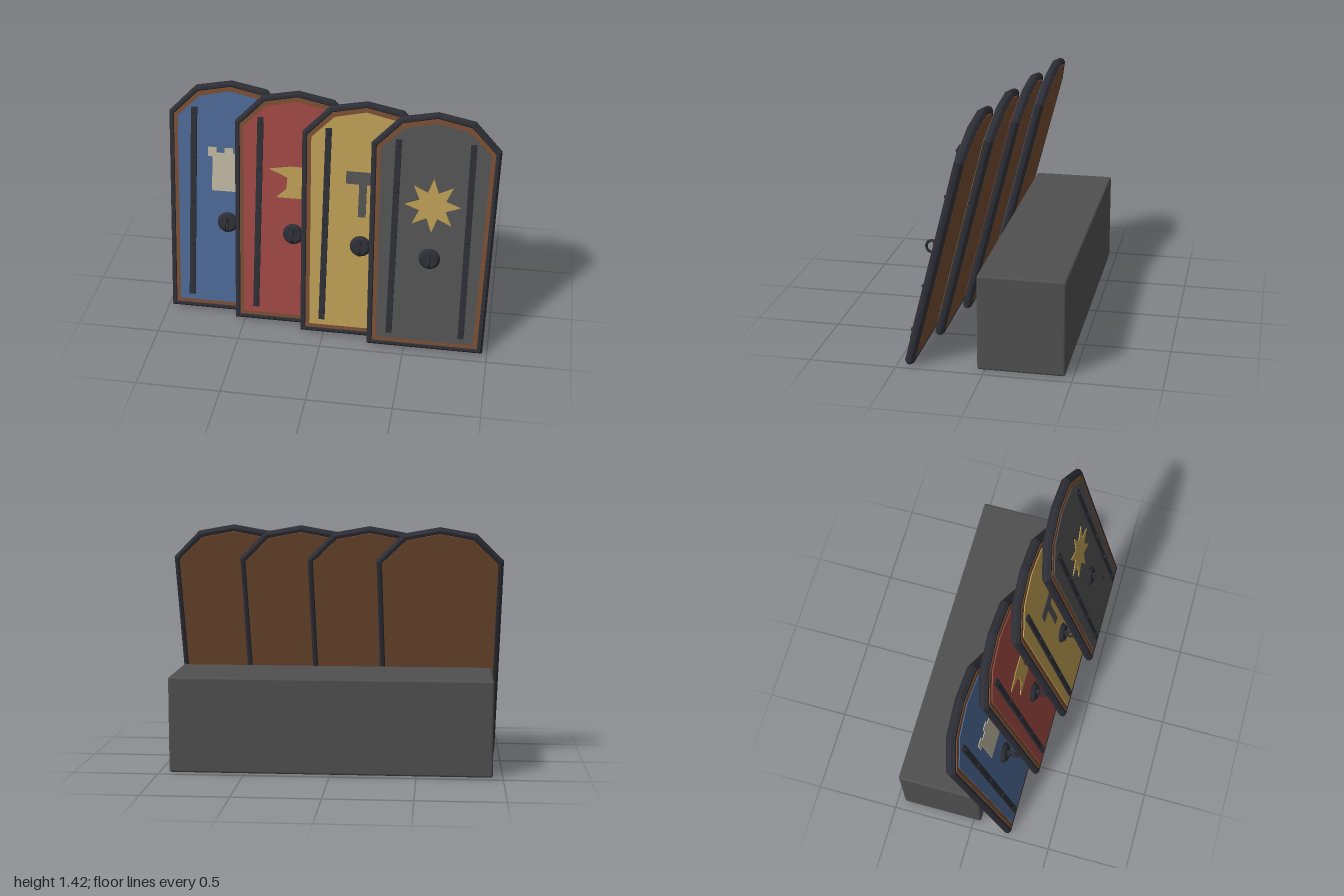
import * as THREE from 'three';
import { RoundedBoxGeometry } from 'three/addons/geometries/RoundedBoxGeometry.js';

const TILT = 0.252;

function makeMaterial(name, color) {
  const m = new THREE.MeshStandardMaterial({ color });
  m.name = name;
  return m;
}

function addMesh(parent, name, geometry, material, x = 0, y = 0, z = 0) {
  const mesh = new THREE.Mesh(geometry, material);
  mesh.name = name;
  mesh.position.set(x, y, z);
  parent.add(mesh);
  return mesh;
}

// Shield outline moved inwards by d
function outline(d) {
  const right = [[0.348 - d, d], [0.375 - d, 1.25 - 0.4 * d], [0.215 - 0.5 * d, 1.413 - d]];
  const left = right.map(([x, y]) => [-x, y]).reverse();
  return [...right, [0, 1.453 - d], ...left];
}

const toPoints = (list) => list.map(([x, y]) => new THREE.Vector2(x, y));

function plate(list, depth) {
  return new THREE.ExtrudeGeometry(new THREE.Shape(toPoints(list)), { depth, bevelEnabled: false });
}

// Emblem outlines
function star() {
  const pts = [];
  for (let i = 0; i < 16; i++) {
    const a = (i * Math.PI) / 8;
    const r = i % 2 ? 0.083 : 0.163;
    pts.push([r * Math.cos(a), 0.906 + r * Math.sin(a)]);
  }
  return pts;
}

const castle = [
  [-0.1, 0.777], [0.1, 0.777], [0.1, 0.99], [0.128, 0.99], [0.128, 1.048], [0.075, 1.048],
  [0.075, 1.015], [0.026, 1.015], [0.026, 1.048], [-0.026, 1.048], [-0.026, 1.015],
  [-0.075, 1.015], [-0.075, 1.048], [-0.128, 1.048], [-0.128, 0.99], [-0.1, 0.99],
];

const anvil = [
  [-0.11, 0.805], [0.11, 0.805], [0.05, 0.86], [0.05, 0.925], [0.13, 0.945], [0.13, 1.0],
  [-0.03, 1.0], [-0.16, 0.978], [-0.07, 0.943], [-0.045, 0.93], [-0.05, 0.86],
];

const hammer = [
  [-0.023, 0.762], [0.023, 0.762], [0.023, 0.962], [0.102, 0.962],
  [0.102, 1.037], [-0.102, 1.037], [-0.102, 0.962], [-0.023, 0.962],
];

export function createModel() {
  const model = new THREE.Group();
  model.name = 'shieldDisplay';

  const iron = makeMaterial('darkIron', 0x2d2e35);
  const wood = makeMaterial('brownWood', 0x754c32);
  const grey = makeMaterial('stoneGrey', 0x505050);
  const blue = makeMaterial('bluePaint', 0x49658f);
  const red = makeMaterial('redPaint', 0x9a4641);
  const gold = makeMaterial('goldPaint', 0xb59850);
  const cream = makeMaterial('creamPaint', 0xb9b09c);

  // Shared shield geometry
  const rimShape = new THREE.Shape(toPoints(outline(0)));
  rimShape.holes.push(new THREE.Path(toPoints(outline(0.04))));
  const rimGeo = new THREE.ExtrudeGeometry(rimShape, {
    depth: 0.018, bevelEnabled: true, bevelSegments: 1,
    bevelSize: 0.013, bevelThickness: 0.018, bevelOffset: -0.013,
  });
  const bodyGeo = plate(outline(0.033), 0.056);
  const panelGeo = plate(outline(0.058), 0.008);
  const strapGeo = new THREE.BoxGeometry(0.036, 1.193, 0.014);
  const rivetGeo = new THREE.SphereGeometry(0.011, 8, 6);
  const bossGeo = new THREE.CylinderGeometry(0.048, 0.064, 0.022, 16);
  const mountGeo = new THREE.CylinderGeometry(0.012, 0.016, 0.02, 8);
  const ringGeo = new THREE.TorusGeometry(0.036, 0.008, 8, 20);

  function makeShield(name, paint, emblemPoints, emblemPaint) {
    const g = new THREE.Group();
    g.name = name;
    addMesh(g, 'rim', rimGeo, iron, 0, 0, -0.009);
    addMesh(g, 'woodenBody', bodyGeo, wood, 0, 0, -0.027);
    addMesh(g, 'paintedPanel', panelGeo, paint, 0, 0, 0.027);
    addMesh(g, 'emblem', plate(emblemPoints, 0.006), emblemPaint, 0, 0, 0.034);

    // Riveted straps
    for (const x of [-0.215, 0.215]) {
      addMesh(g, 'strap', strapGeo, iron, x, 0.6915, 0.04);
      for (let i = 0; i < 5; i++) {
        addMesh(g, 'rivet', rivetGeo, iron, x, 0.15 + i * 0.277, 0.047);
      }
    }

    // Boss with a hanging ring
    addMesh(g, 'boss', bossGeo, iron, 0, 0.58, 0.046).rotation.x = Math.PI / 2;
    addMesh(g, 'ringMount', mountGeo, iron, 0, 0.58, 0.062).rotation.x = Math.PI / 2;
    addMesh(g, 'ring', ringGeo, iron, 0, 0.58, 0.086).rotation.y = Math.PI / 2;
    return g;
  }

  // Four overlapping shields leaning back
  const shields = [
    ['blueShield', blue, castle, cream],
    ['redShield', red, anvil, gold],
    ['goldShield', gold, hammer, grey],
    ['greyShield', grey, star(), gold],
  ];
  shields.forEach((spec, i) => {
    const shield = makeShield(...spec);
    shield.position.set(-0.625 + i * 0.4167, 0.012, 0.224 + i * 0.069);
    shield.rotation.x = -TILT;
    model.add(shield);
  });

  // Stone block behind, with a framed front
  addMesh(model, 'block', new RoundedBoxGeometry(1.885, 0.565, 0.5, 2, 0.014), grey, 0, 0.2825, -0.205);
  addMesh(model, 'frontGroove', new THREE.BoxGeometry(1.77, 0.45, 0.004), iron, 0, 0.2825, 0.045);
  addMesh(model, 'frontPanel', new THREE.BoxGeometry(1.74, 0.42, 0.006), grey, 0, 0.2825, 0.046);

  return model;
}
